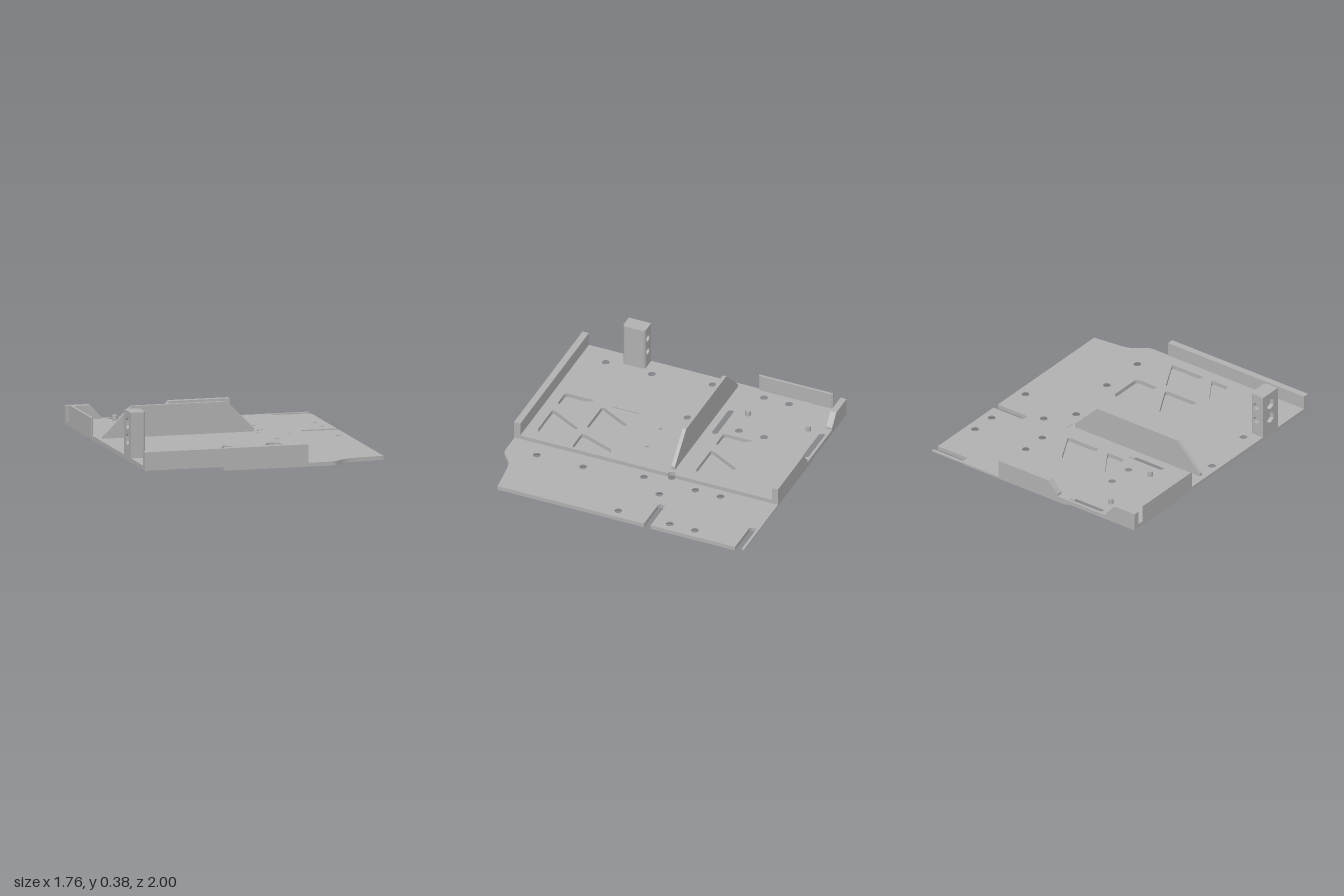
import * as THREE from 'three';

const grey = new THREE.MeshStandardMaterial({ color: 0xb0b0b0 });
grey.name = 'plain grey';
const greyOpen = grey.clone();
greyOpen.side = THREE.DoubleSide;

// Plan drawings are given as [x, z]; the shape's y is -z.
const plan = (pts) => pts.map(([x, z]) => new THREE.Vector2(x, -z));

function circle(x, z, r, n = 24, turn = 0) {
  const pts = [];
  for (let i = 0; i < n; i++) {
    const a = turn + (i / n) * Math.PI * 2;
    pts.push([x + r * Math.cos(a), z + r * Math.sin(a)]);
  }
  return pts;
}

// Polygon with every corner rounded off
function rounded(pts, r = 0.03) {
  const out = [];
  pts.forEach(([x, z], i) => {
    const c = new THREE.Vector2(x, z);
    const toward = (j) => {
      const q = new THREE.Vector2(...pts[(j + pts.length) % pts.length]).sub(c);
      return c.clone().add(q.setLength(Math.min(r, q.length() * 0.45)));
    };
    const curve = new THREE.QuadraticBezierCurve(toward(i - 1), c, toward(i + 1));
    curve.getPoints(5).forEach((p) => out.push([p.x, p.y]));
  });
  return out;
}

const slot = (x0, x1, z, h = 0.025) => rounded([[x0, z - h], [x1, z - h], [x1, z + h], [x0, z + h]], 0.024);

// Horizontal slab from a plan outline with holes
function slab(group, name, outline, holes, y0, y1) {
  const shape = new THREE.Shape(plan(outline));
  holes.forEach((h) => shape.holes.push(new THREE.Path(plan(h))));
  const g = new THREE.ExtrudeGeometry(shape, { depth: y1 - y0, bevelEnabled: false });
  g.rotateX(-Math.PI / 2).translate(0, y0, 0);
  return add(group, name, g);
}

// Upright plate from an [x, y] outline
function upright(group, name, pts, z0, z1, holes = []) {
  const v = (list) => list.map((p) => new THREE.Vector2(...p));
  const shape = new THREE.Shape(v(pts));
  holes.forEach((h) => shape.holes.push(new THREE.Path(v(h))));
  const g = new THREE.ExtrudeGeometry(shape, { depth: z1 - z0, bevelEnabled: false });
  g.translate(0, 0, z0);
  return add(group, name, g);
}

function add(group, name, geometry, material = grey) {
  const m = new THREE.Mesh(geometry, material);
  m.name = name;
  group.add(m);
  return m;
}

function box(group, name, x0, x1, y0, y1, z0, z1) {
  const g = new THREE.BoxGeometry(x1 - x0, y1 - y0, z1 - z0);
  return add(group, name, g.translate((x0 + x1) / 2, (y0 + y1) / 2, (z0 + z1) / 2));
}

// One row of truss pockets, starting at z and running in direction s
function pocketRow(z, s) {
  return [
    [[-0.29, 0.27], [-0.14, 0.27], [-0.29, 0.04]],
    [[-0.245, 0], [0.035, 0], [-0.105, 0.26]],
    [[-0.075, 0.27], [0.205, 0.27], [0.065, 0.01]],
    [[0.1, 0], [0.285, 0], [0.285, 0.27], [0.2, 0.27]],
  ].map((p) => rounded(p.map(([x, t]) => [x, z + s * t])));
}

export function createModel() {
  const model = new THREE.Group();
  model.name = 'mountingTray';
  const R = 0.027;
  const top = 0.06;

  // Hole positions
  const rows = [-0.595, -0.405, -0.015];
  const nuts = [...rows.flatMap((z) => [[-0.81, z], [-0.38, z]]), [-0.755, 0.42], [-0.755, 0.77]];
  const middle = [[-0.18, 0.1], [0.05, 0.1]];
  const screws = [...rows.flatMap((z) => [[0.37, z], [0.81, z]]), ...middle,
    [0.30, -0.195], [0.515, -0.195], [0.43, 0.42], [0.43, 0.77]];

  // Upper plate with truss pockets, slots and hexagonal nut recesses
  const pockets = [
    ...pocketRow(0.57, -1), ...pocketRow(0.6, 1), ...pocketRow(-0.6, 1),
    ...[
      [[-0.15, -0.83], [-0.06, -0.83], [0.03, -0.63], [-0.24, -0.63]],
      [[-0.03, -0.83], [0.165, -0.83], [0.065, -0.65]],
      [[0.19, -0.83], [0.285, -0.83], [0.285, -0.63], [0.11, -0.63]],
      [[-0.06, -0.3], [0.195, -0.3], [0.17, -0.215], [-0.03, -0.215]],
      [[-0.19, -0.145], [-0.02, -0.145], [0.03, -0.035], [-0.24, -0.035]],
      [[0.155, -0.145], [0.22, -0.145], [0.285, -0.1], [0.285, -0.035], [0.11, -0.035]],
    ].map((p) => rounded(p)),
  ];
  const notch = [];
  for (let i = 0; i <= 8; i++) {
    const a = -Math.PI / 2 - (i / 8) * Math.PI;
    notch.push([0.3 + R * Math.cos(a), -0.195 + R * Math.sin(a)]);
  }
  const upperEdge = [[-0.88, -1], [0.3, -1], ...notch, [0.3, 1], [-0.88, 1]];
  const upperHoles = [...pockets, slot(-0.58, -0.26, -0.955), slot(-0.58, -0.26, -0.265),
    ...middle.map(([x, z]) => circle(x, z, R))];
  slab(model, 'upperPlateBase', upperEdge,
    [...upperHoles, ...nuts.map(([x, z]) => circle(x, z, R))], 0.03, 0.045);
  slab(model, 'upperPlateTop', upperEdge,
    [...upperHoles, ...nuts.map(([x, z]) => circle(x, z, 0.048, 6))], 0.045, top);

  // Lower plate: thin full sheet above a slightly shorter layer, notched by the slots
  const curve = new THREE.CubicBezierCurve(new THREE.Vector2(0.46, 0.995), new THREE.Vector2(0.54, 0.99),
    new THREE.Vector2(0.54, 0.91), new THREE.Vector2(0.66, 0.895));
  const sweep = curve.getPoints(14).map((p) => [p.x, p.y]).reverse();
  const rightSlot = (z) => [[0.88, z - 0.025], [0.635, z - 0.025], [0.62, z - 0.012],
    [0.62, z + 0.012], [0.635, z + 0.025], [0.88, z + 0.025]];
  const leftSlot = (z) => [[-0.305, z + 0.025], [-0.275, z + 0.025], [-0.26, z + 0.012],
    [-0.26, z - 0.012], [-0.275, z - 0.025], [-0.305, z - 0.025]];
  const frontPart = [...rightSlot(-0.265), [0.88, 0.87], [0.74, 0.885]];
  slab(model, 'lowerPlateSheet', [[-0.305, -1], [0.88, -1], ...rightSlot(-0.955), ...frontPart,
    ...sweep, [-0.305, 0.995], ...leftSlot(-0.265), ...leftSlot(-0.955)],
  screws.map(([x, z]) => circle(x, z, R)), 0.02, 0.03);
  slab(model, 'lowerPlateBase', [[-0.26, -0.98], [0.62, -0.98], ...rightSlot(-0.955).slice(2), ...frontPart,
    ...sweep.map(([x, z]) => [x, Math.min(z, 0.985)]), [-0.305, 0.985],
    ...leftSlot(-0.265), ...leftSlot(-0.955).slice(0, 4)],
  screws.map(([x, z]) => circle(x, z, 0.045)), 0, 0.02);

  // Countersinks under the lower plate
  for (const [x, z] of screws) {
    const cone = new THREE.CylinderGeometry(R, 0.045, 0.02, 24, 1, true);
    add(model, 'countersink', cone.translate(x, 0.01, z), greyOpen);
  }

  // Rim walls
  box(model, 'frontWall', -0.88, 0.3, top, 0.16, 0.952, 1);
  upright(model, 'backWallShort', [[-0.88, top], [-0.63, top], [-0.63, 0.075], [-0.705, 0.16], [-0.88, 0.16]], -1, -0.955);
  upright(model, 'backWallLong', [[-0.21, top], [0.3, top], [0.3, 0.16], [-0.135, 0.16], [-0.21, 0.075]], -1, -0.955);
  slab(model, 'sideWall', [[-0.88, -0.9], [-0.87, -0.9], [-0.862, -0.89], [-0.862, -0.35], [-0.87, -0.34], [-0.88, -0.34]],
    [], top, 0.18);

  // Central fin
  upright(model, 'centreFin', [[-0.84, top], [0.245, top], [0.245, 0.085], [0.05, 0.28], [-0.64, 0.28], [-0.84, 0.08]],
    -0.195, -0.168);

  // Locating pins
  for (const z of [-0.85, -0.395]) {
    add(model, 'locatingPin', new THREE.CylinderGeometry(0.02, 0.02, 0.04, 20).translate(-0.56, 0.08, z));
  }

  // Post with rounded inner corners, round bores at the back and nut pockets on the outer side
  const post = new THREE.Group();
  post.name = 'post';
  model.add(post);
  const arc = (z, a0) => [0, 1, 2, 3, 4, 5, 6].map((i) => {
    const a = a0 + (i / 6) * Math.PI / 2;
    return [-0.795 + 0.025 * Math.cos(a), z + 0.025 * Math.sin(a)];
  });
  slab(post, 'postCore', [[-0.85, 0.51], [-0.795, 0.51], ...arc(0.505, -Math.PI / 2), ...arc(0.625, 0), [-0.85, 0.65]],
    [], top, 0.38);
  const levels = [0.18, 0.29];
  upright(post, 'postBorePlate', [[-0.85, top], [-0.795, top], [-0.795, 0.38], [-0.85, 0.38]], 0.48, 0.51,
    levels.map((y) => circle(-0.8225, y, 0.025)));
  const side = upright(post, 'postNutPlate', [[-0.65, top], [-0.48, top], [-0.48, 0.38], [-0.65, 0.38]], 0, 0.03,
    levels.map((y) => circle(-0.565, y, 0.042, 6, Math.PI / 6)));
  side.geometry.rotateY(Math.PI / 2).translate(-0.88, 0, 0);

  return model;
}
